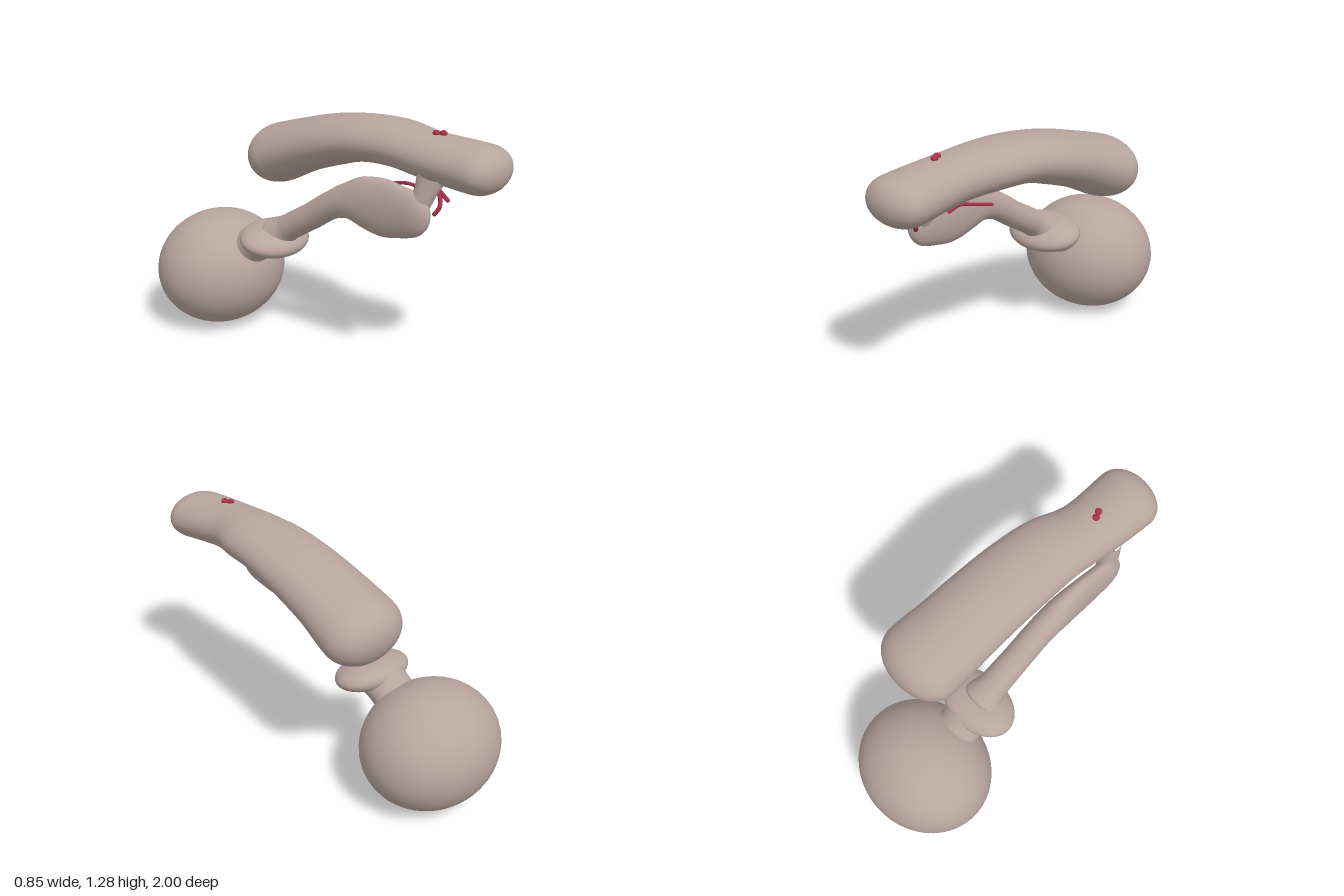
import * as THREE from 'three';

// Smooth tube through stations [x, y, z, half width, half height], with rounded ends
function sweep(stations, capStart, capEnd, rings = 64, sides = 36) {
  const path = new THREE.CatmullRomCurve3(stations.map(s => new THREE.Vector3(s[0], s[1], s[2])));
  const radii = new THREE.CatmullRomCurve3(stations.map(s => new THREE.Vector3(s[3], s[4], 0)));
  const length = path.getLength();
  const round = (d, cap) => {
    if (cap <= 0 || d >= cap) return 1;
    return Math.max(0.001, Math.pow(1 - Math.pow(1 - d / cap, 2.2), 1 / 2.2));
  };
  const positions = [], index = [];
  for (let i = 0; i <= rings; i++) {
    const u = (1 - Math.cos(Math.PI * i / rings)) / 2; // denser at the ends
    const t = path.getUtoTmapping(u);
    const c = path.getPoint(t), r = radii.getPoint(t), tan = path.getTangent(t);
    const n = new THREE.Vector3(0, -tan.z, tan.y).normalize();
    const k = round(u * length, capStart) * round((1 - u) * length, capEnd);
    for (let j = 0; j < sides; j++) {
      const a = j / sides * Math.PI * 2;
      const h = Math.sin(a) * r.y * k;
      positions.push(c.x + Math.cos(a) * r.x * k, c.y + n.y * h, c.z + n.z * h);
      if (i < rings) {
        const p = i * sides + j, q = i * sides + (j + 1) % sides;
        index.push(p, p + sides, q, q, p + sides, q + sides);
      }
    }
  }
  const geo = new THREE.BufferGeometry();
  geo.setAttribute('position', new THREE.Float32BufferAttribute(positions, 3));
  geo.setIndex(index);
  geo.computeVertexNormals();
  return geo;
}

export function createModel() {
  const group = new THREE.Group();
  const clay = new THREE.MeshStandardMaterial({ color: 0xb8a59d });
  clay.name = 'dusty clay';
  const red = new THREE.MeshStandardMaterial({ color: 0xa83248 });
  red.name = 'crimson';

  const add = (name, geo, mat = clay) => {
    const mesh = new THREE.Mesh(geo, mat);
    mesh.name = name;
    group.add(mesh);
    return mesh;
  };
  const ellipsoid = (name, pos, size, mat = clay) => {
    const mesh = add(name, new THREE.SphereGeometry(1, 48, 32), mat);
    mesh.position.set(...pos);
    mesh.scale.set(...size);
    return mesh;
  };

  // Large ball at the back
  ellipsoid('ball', [-0.05, 0.32, -0.665], [0.378, 0.32, 0.335]);

  // Long arched bar on top, widening to the back
  add('archedBar', sweep([
    [0.11, 1.115, 1.0, 0.175, 0.115],
    [0.11, 1.125, 0.88, 0.175, 0.118],
    [0.11, 1.147, 0.6, 0.163, 0.113],
    [0.145, 1.165, 0.4, 0.183, 0.114],
    [0.158, 1.157, 0.2, 0.197, 0.117],
    [0.17, 1.115, 0.0, 0.205, 0.132],
    [0.18, 1.053, -0.2, 0.213, 0.143],
    [0.195, 0.975, -0.4, 0.226, 0.162],
    [0.198, 0.915, -0.555, 0.226, 0.164],
  ], 0.13, 0.17, 96, 48));

  // Neck rising from the ball into the collar
  add('neck', sweep([
    [-0.05, 0.43, -0.5, 0.17, 0.15],
    [-0.05, 0.51, -0.4, 0.12, 0.1],
    [-0.045, 0.575, -0.31, 0.13, 0.1],
  ], 0, 0.04, 24));

  // Flared collar disc, tipped forward
  ellipsoid('collar', [-0.045, 0.572, -0.265], [0.215, 0.078, 0.16]).rotation.x = 0.22;

  // Stalk that flattens into an upright paddle
  add('stalkAndPaddle', sweep([
    [-0.045, 0.58, -0.26, 0.125, 0.11],
    [-0.045, 0.655, -0.16, 0.08, 0.072],
    [-0.045, 0.755, 0.0, 0.074, 0.07],
    [-0.045, 0.835, 0.12, 0.072, 0.072],
    [-0.045, 0.878, 0.22, 0.072, 0.09],
    [-0.045, 0.892, 0.32, 0.068, 0.13],
    [-0.045, 0.888, 0.44, 0.06, 0.147],
    [-0.045, 0.89, 0.57, 0.055, 0.125],
    [-0.045, 0.91, 0.7, 0.05, 0.1],
  ], 0.04, 0.11, 80));

  // Short link between paddle and bar
  add('link', sweep([
    [-0.04, 0.9, 0.6, 0.05, 0.07],
    [-0.02, 0.98, 0.645, 0.05, 0.055],
    [0.02, 1.08, 0.67, 0.07, 0.075],
  ], 0.03, 0, 20, 24));

  // Thin red strands around the link and beside the paddle
  const strands = [
    [0.011, [0.0, 0.9, 0.7], [0.015, 0.93, 0.715], [0.03, 0.96, 0.71], [0.05, 0.985, 0.69]],
    [0.01, [0.03, 0.97, 0.75], [0.05, 0.985, 0.71], [0.06, 1.01, 0.675], [0.06, 1.04, 0.665]],
    [0.01, [0.09, 0.995, 0.6], [0.09, 1.02, 0.61], [0.09, 1.05, 0.605]],
    [0.009, [0.09, 0.975, 0.57], [0.09, 0.988, 0.5], [0.11, 0.975, 0.43], [0.13, 0.95, 0.33]],
  ];
  strands.forEach(([r, ...pts]) => {
    const curve = new THREE.CatmullRomCurve3(pts.map(p => new THREE.Vector3(...p)));
    add('redStrand', new THREE.TubeGeometry(curve, 20, r, 8), red);
    for (const end of [pts[0], pts[pts.length - 1]]) ellipsoid('strandTip', end, [r, r, r], red);
  });

  // Pair of red beads on top of the bar
  ellipsoid('redBead', [0.09, 1.262, 0.635], [0.018, 0.014, 0.018], red);
  ellipsoid('redBead', [0.105, 1.262, 0.665], [0.018, 0.014, 0.018], red);

  return group;
}
